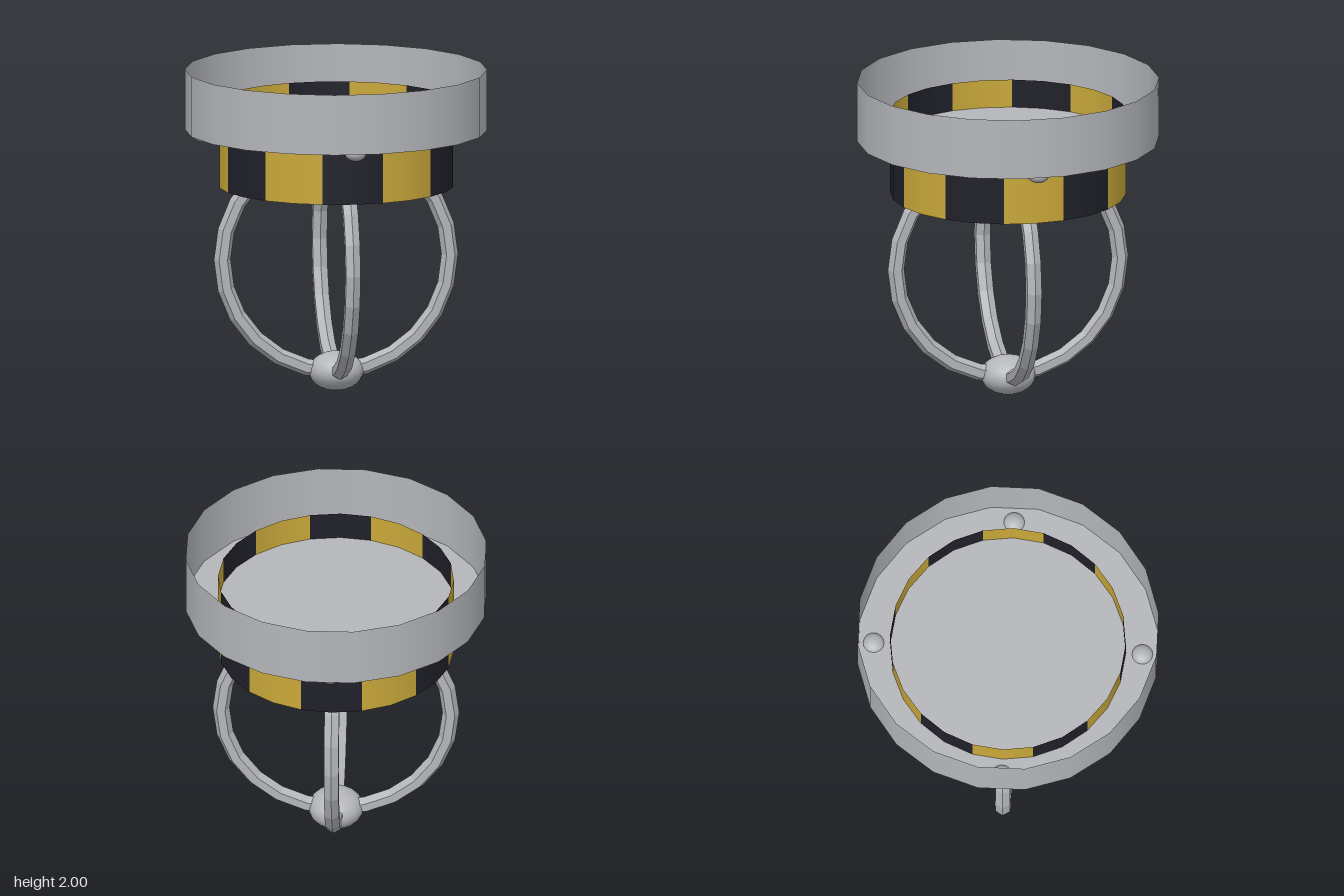
import * as THREE from 'three';

export function createModel() {
  const model = new THREE.Group();
  const material = (name, color, options = {}) => {
    const m = new THREE.MeshStandardMaterial({ color, ...options });
    m.name = name;
    return m;
  };
  const steel = material('steel grey', 0xb4b6ba, { side: THREE.DoubleSide });
  const yellow = material('warning yellow', 0xc9a83a, { side: THREE.DoubleSide });
  const black = material('stripe black', 0x20202a, { side: THREE.DoubleSide });
  const darkGrey = material('underside dark grey', 0x4c4d4f, { side: THREE.DoubleSide });

  const add = (name, geometry, mat, x = 0, y = 0, z = 0, parent = model) => {
    const mesh = new THREE.Mesh(geometry, mat);
    mesh.name = name;
    mesh.position.set(x, y, z);
    parent.add(mesh);
    return mesh;
  };
  const disc = (radius, sides) => new THREE.CircleGeometry(radius, sides).rotateX(-Math.PI / 2);

  // Open-topped drum
  const floorY = 1.625, drumRadius = 0.93;
  add('drumWall', new THREE.CylinderGeometry(drumRadius, drumRadius, 2 - floorY, 20, 1, true),
    steel, 0, (2 + floorY) / 2, 0).rotation.y = Math.PI / 2;
  add('drumFloor', disc(drumRadius, 20), steel, 0, floorY, 0);

  // Striped collar, passing up through the drum floor
  const collar = new THREE.Group();
  collar.name = 'stripedCollar';
  model.add(collar);
  const collarRadius = 0.725, collarBottom = 1.28, collarTop = 1.8, stripe = Math.PI / 6;
  for (let i = 0; i < 12; i++) {
    add('collarStripe', new THREE.CylinderGeometry(collarRadius, collarRadius,
      collarTop - collarBottom, 2, 1, true, i * stripe, stripe),
    i % 2 ? yellow : black, 0, (collarTop + collarBottom) / 2, 0, collar);
  }
  add('collarUnderside', disc(collarRadius, 24), darkGrey, 0, collarBottom, 0);

  // Flattened studs through the drum floor
  const stud = new THREE.SphereGeometry(0.066, 16, 12).scale(1, 0.72, 1);
  for (const x of [-0.585, 0.585])
    for (const z of [-0.585, 0.585]) add('stud', stud, steel, x, 1.617, z);

  // Two crossed hoops on the diagonals, ending inside the collar
  const tubeMat = material('hoop grey', 0xb4b6ba, { flatShading: true });
  const hoop = new THREE.TorusGeometry(0.707, 0.052, 6, 18, Math.PI * 1.5).rotateZ(Math.PI * 0.75);
  for (const turn of [-1, 1]) add('hoop', hoop, tubeMat, 0, 0.83, 0).rotation.y = turn * Math.PI / 4;

  // Ball foot where the hoops meet
  add('ballFoot', new THREE.SphereGeometry(0.17, 20, 14).scale(1, 0.715, 1), steel, 0, 0.1216, 0);

  return model;
}
